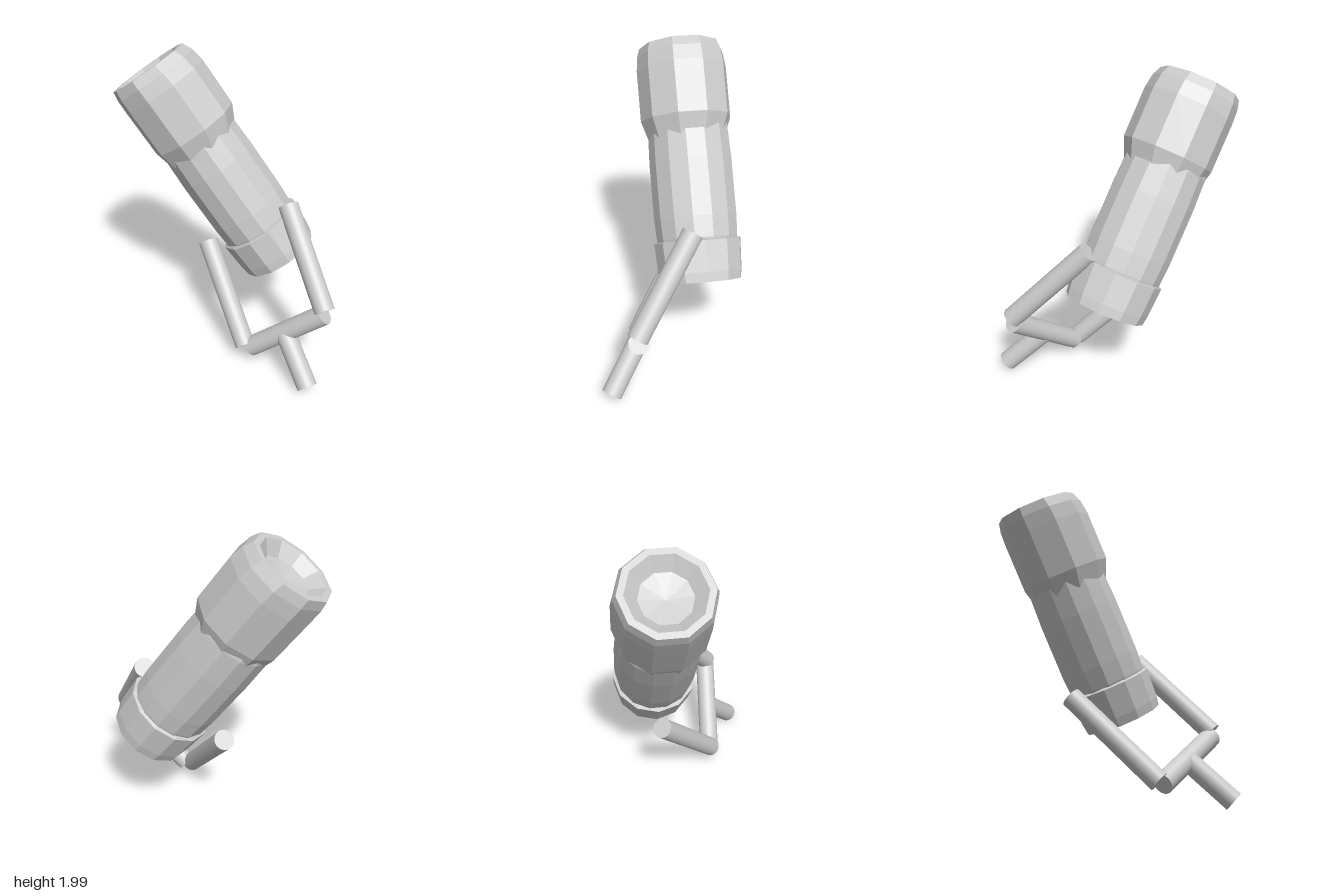
import * as THREE from 'three';

const grey = new THREE.MeshStandardMaterial({ color: 0xcccccc });
const faceted = new THREE.MeshStandardMaterial({ color: 0xcccccc, flatShading: true });

// Faceted body of revolution; each ring is [height, radius, sideways shift]
function facetedBody(name, rings, sides, widthScale = 1) {
  const geometry = new THREE.LatheGeometry(rings.map(([h, r]) => new THREE.Vector2(r, h)), sides);
  const p = geometry.attributes.position;
  for (let i = 0; i < p.count; i++) {
    const shift = rings[i % rings.length][2] ?? 0;
    p.setX(i, p.getX(i) * widthScale + shift);
  }
  geometry.computeVertexNormals();
  const mesh = new THREE.Mesh(geometry, faceted);
  mesh.name = name;
  return mesh;
}

// Round rod between two points
function rod(name, from, to, radius = 0.065) {
  const a = new THREE.Vector3(...from);
  const b = new THREE.Vector3(...to);
  const dir = b.clone().sub(a);
  const mesh = new THREE.Mesh(new THREE.CylinderGeometry(radius, radius, dir.length(), 32), grey);
  mesh.position.copy(a).add(b).multiplyScalar(0.5);
  mesh.quaternion.setFromUnitVectors(new THREE.Vector3(0, 1, 0), dir.normalize());
  mesh.name = name;
  return mesh;
}

export function createModel() {
  const model = new THREE.Group();
  model.name = 'model';

  // Tilted barrel, built upright from its base
  const barrel = new THREE.Group();
  barrel.name = 'barrel';
  barrel.position.set(0.33, 0.635, -0.197);
  barrel.rotation.z = 0.621;
  model.add(barrel);

  barrel.add(facetedBody('baseBand', [
    [0, 0], [0, 0.257], [0.06, 0.266], [0.25, 0.276], [0.262, 0.25], [0.262, 0],
  ], 12));

  barrel.add(facetedBody('barrelSleeve', [
    [0.2, 0.24], [0.27, 0.257], [0.4, 0.264], [0.75, 0.264], [0.96, 0.256], [1.02, 0.24],
  ], 14));

  // Wider head with a dished end
  const head = facetedBody('barrelHead', [
    [0.9, 0.245, 0], [1.02, 0.287, 0.018], [1.34, 0.287, 0.018], [1.43, 0.278, 0.01],
    [1.49, 0.258, 0], [1.49, 0.22, 0], [1.42, 0.15, 0], [1.39, 0, 0],
  ], 10, 1.02);
  head.position.z = 0.01;
  barrel.add(head);

  // Fork with two parallel prongs, a crossbar and a handle
  const fork = new THREE.Group();
  fork.name = 'fork';
  fork.add(rod('leftProng', [0.385, 1.04, -0.125], [0.7, 0.535, 0.25]));
  fork.add(rod('rightProng', [-0.165, 0.645, -0.19], [0.19, 0.12, 0.2]));
  fork.add(rod('crossbar', [0.23, 0.115, 0.195], [0.7, 0.505, 0.24]));
  fork.add(rod('handle', [0.46, 0.295, 0.225], [0.645, 0.048, 0.415]));
  model.add(fork);

  return model;
}
